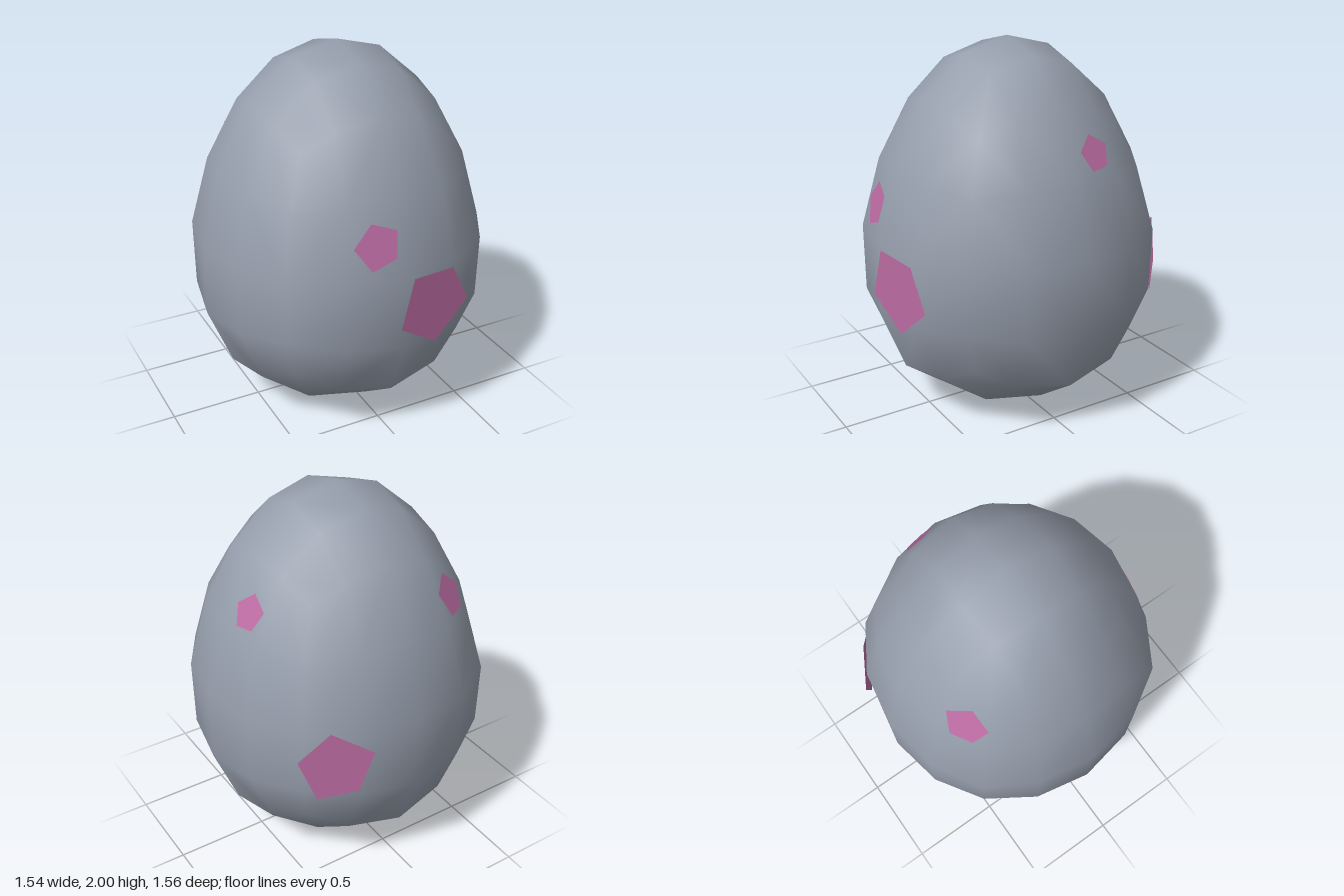
import * as THREE from 'three';

// One face of a twice-subdivided cube: [along, across, outward] by grid distance from the face centre
const NODES = {
  '00': [0, 0, 1], '10': [0.399, 0, 0.933], '20': [0.732, 0, 0.732],
  '11': [0.372, 0.372, 0.87], '21': [0.682, 0.344, 0.682], '22': [0.58, 0.58, 0.58],
};

function gridNode(a, b) {
  const m = Math.abs(a), n = Math.abs(b);
  const [big, small, out] = NODES[`${Math.max(m, n)}${Math.min(m, n)}`];
  const [u, v] = m >= n ? [big, small] : [small, big];
  return [Math.sign(a) * u, Math.sign(b) * v, out];
}

// Rounded cube tapered towards the top, with a crease at the middle of each bottom edge
function eggGeometry() {
  const positions = [], index = [], seen = new Map();
  const vertex = (axis, side, a, b) => {
    const [u, v, w] = gridNode(a, b);
    const p = [0, 0, 0];
    p[axis] = side * w;
    p[(axis + 1) % 3] = side * u;
    p[(axis + 2) % 3] = v;
    const underside = axis === 1 && side < 0;
    const edgeMiddle = Math.abs(a) + Math.abs(b) === 2 && a * b === 0;
    const key = p.map((c) => c.toFixed(3)).join() + (underside && edgeMiddle ? 'crease' : '');
    if (!seen.has(key)) {
      seen.set(key, positions.length / 3);
      const width = 0.77 - 0.14 * p[1];
      positions.push(p[0] * width, 1 + p[1], p[2] * width - 0.005);
    }
    return seen.get(key);
  };
  for (let axis = 0; axis < 3; axis++) {
    for (const side of [1, -1]) {
      for (let a = -2; a < 2; a++) {
        for (let b = -2; b < 2; b++) {
          const q = [[a, b], [a + 1, b], [a + 1, b + 1], [a, b + 1]].map(([i, j]) => vertex(axis, side, i, j));
          index.push(q[0], q[1], q[2], q[0], q[2], q[3]);
        }
      }
    }
  }
  const geometry = new THREE.BufferGeometry();
  geometry.setAttribute('position', new THREE.Float32BufferAttribute(positions, 3));
  geometry.setIndex(index);
  geometry.computeVertexNormals();
  return geometry;
}

// Flat five-sided plate, turned to face away from the egg's middle
function spotGeometry(corners) {
  const pts = corners.map((c) => new THREE.Vector3(...c));
  const normal = pts[1].clone().sub(pts[0]).cross(pts[2].clone().sub(pts[0]));
  if (normal.dot(pts[0].clone().sub(new THREE.Vector3(0, 1, 0))) < 0) pts.reverse();
  const geometry = new THREE.BufferGeometry().setFromPoints(pts);
  geometry.setIndex([0, 1, 2, 0, 2, 3, 0, 3, 4]);
  geometry.computeVertexNormals();
  return geometry;
}

export function createModel() {
  const shell = new THREE.MeshStandardMaterial({ color: 0x969eac });
  shell.name = 'slate shell';
  const pink = new THREE.MeshStandardMaterial({ color: 0xbb6ba2, side: THREE.DoubleSide });
  pink.name = 'pink spot';

  const group = new THREE.Group();
  group.name = 'spottedEgg';
  const add = (name, geometry, material) => {
    const mesh = new THREE.Mesh(geometry, material);
    mesh.name = name;
    group.add(mesh);
  };

  add('eggShell', eggGeometry(), shell);

  // Each spot lies in a plane just above the shell
  const spots = {
    largeFrontSpot: [[0.04, 0.985], [0.29, 0.97], [0.4, 0.755], [0.19, 0.57], [-0.035, 0.72]]
      .map(([x, y]) => [x, y, 0.776 - 0.173 * x]),
    smallFrontSpot: [[-0.155, 1.285], [-0.03, 1.24], [-0.045, 1.105], [-0.175, 1.055], [-0.255, 1.175]]
      .map(([x, y]) => [x, y, 0.772 + 0.172 * x - 0.2625 * (y - 1)]),
    smallSideSpot: [[-0.14, 1.585], [-0.24, 1.525], [-0.21, 1.43], [-0.11, 1.42], [-0.06, 1.515]]
      .map(([z, y]) => [0.673 - 0.54 * (y - 1.4) + 0.2 * z, y, z]),
    largeBackSpot: [[0.446, 1.02], [0.265, 0.91], [0.327, 0.67], [0.505, 0.615], [0.585, 0.845]]
      .map(([x, y]) => [x, y, -0.578 - 0.64 * (0.564 - x)]),
    smallBackSpot: [[-0.345, -0.455], [-0.455, -0.44], [-0.43, -0.52], [-0.325, -0.585], [-0.255, -0.55]]
      .map(([x, z]) => [x, 1.39 + 1.027 * (x + 0.267) + 1.538 * (z + 0.629), z]),
  };
  for (const [name, corners] of Object.entries(spots)) add(name, spotGeometry(corners), pink);
  return group;
}
